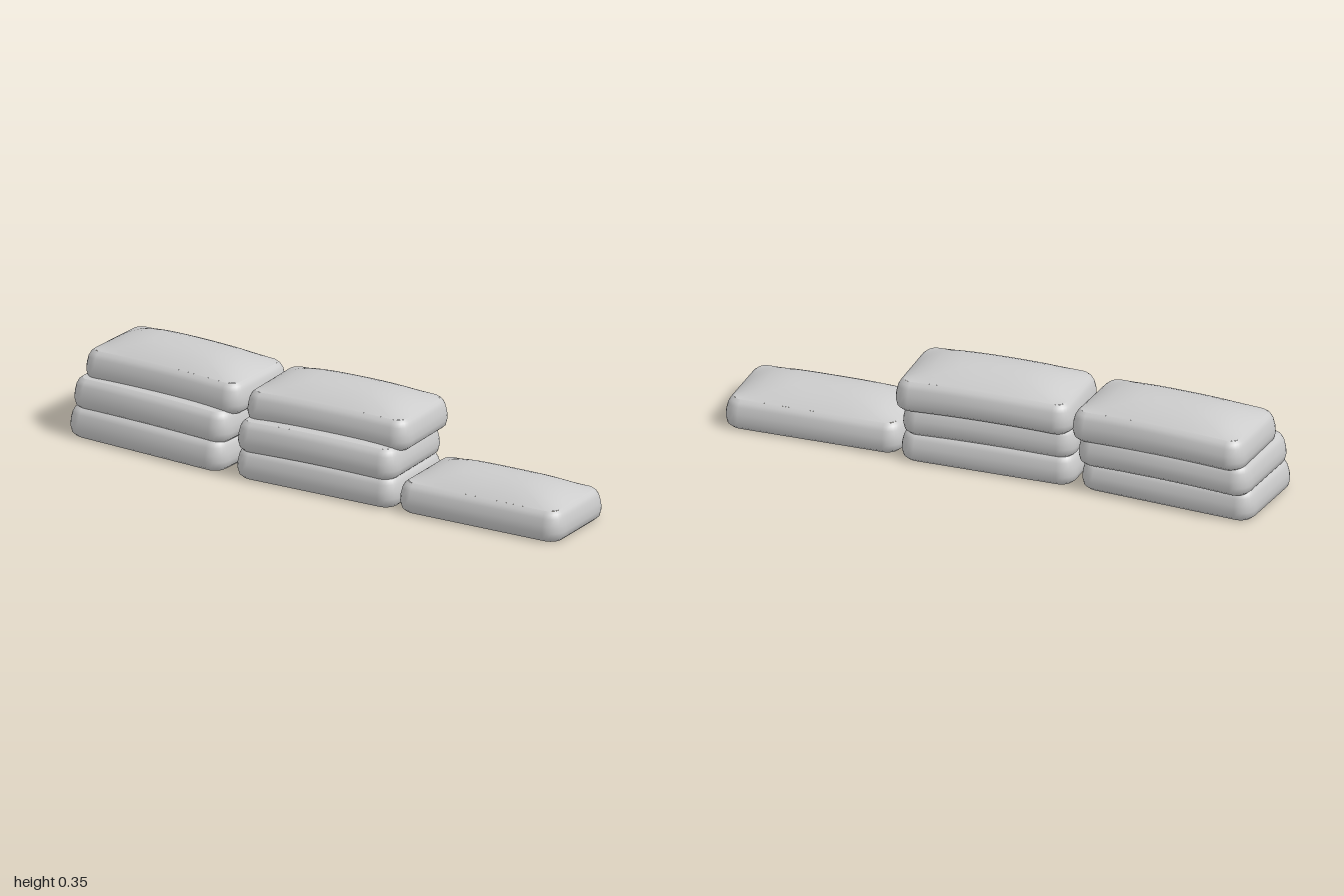
import * as THREE from 'three';

const material = new THREE.MeshStandardMaterial({ color: 0xcccccc });
const ARC = 6, EDGE = 10;

// Outline of a rounded rectangle, evenly subdivided along its edges
function outline(hx, hz, r) {
  const corners = [[1, 1, 0], [-1, 1, 1], [-1, -1, 2], [1, -1, 3]].map(([sx, sz, q]) => {
    const arc = [];
    for (let i = 0; i <= ARC; i++) {
      const a = (q + i / ARC) * Math.PI / 2;
      arc.push([sx * (hx - r) + r * Math.cos(a), sz * (hz - r) + r * Math.sin(a)]);
    }
    return arc;
  });
  const pts = [];
  corners.forEach((arc, c) => {
    pts.push(...arc);
    const a = arc[ARC], b = corners[(c + 1) % 4][0];
    for (let i = 1; i < EDGE; i++) {
      const t = i / EDGE;
      pts.push([a[0] + (b[0] - a[0]) * t, a[1] + (b[1] - a[1]) * t]);
    }
  });
  return pts;
}

// Skins successive closed loops; groups of loops stay unwelded to keep the seams crisp
function skin(groups) {
  const pos = [], idx = [];
  for (const loops of groups) {
    const base = pos.length / 3, n = loops[0].length;
    loops.forEach((loop) => loop.forEach((p) => pos.push(...p)));
    for (let j = 0; j < loops.length - 1; j++) {
      for (let i = 0; i < n; i++) {
        const a = base + j * n + i, b = base + j * n + (i + 1) % n;
        idx.push(a, a + n, b, b, a + n, b + n);
      }
    }
  }
  const geo = new THREE.BufferGeometry();
  geo.setAttribute('position', new THREE.Float32BufferAttribute(pos, 3));
  geo.setIndex(idx);
  geo.computeVertexNormals();
  return geo;
}

// One stuffed bag: flat base, bulging sides, seam, domed top
function bag({ hx, hz, dome, droop, seed }) {
  const rimInset = 0.028;
  const sides = [[0.02, 0], [0.006, 0.012], [0, 0.035], [0.002, 0.06], [0.008, 0.085], [0.016, 0.099], [rimInset, 0.108]];
  const sag = (x) => -droop * (x / hx) ** 2;
  const ring = (inset, y, s = 1) =>
    outline(hx - inset, hz - inset, 0.06 - inset * 0.9).map(([x, z]) => {
      // slight lumps along the sides
      const k = s * (1 + 0.008 * Math.sin(9 * x + seed) * Math.sin(y * 28));
      return [x * s, y + sag(x * s), z * k];
    });
  const base = [0.001, 0.35, 0.7, 1].map((s) => ring(0.02, 0, s));
  const body = sides.map(([inset, y]) => ring(inset, y));
  const top = [1, 0.97, 0.93, 0.88, 0.8, 0.7, 0.55, 0.4, 0.2, 0.001].map((s) =>
    ring(rimInset, 0.108, s).map(([x, y, z]) => {
      const u = Math.min(1, Math.abs(x) / (hx - rimInset)), v = Math.min(1, Math.abs(z) / (hz - rimInset));
      return [x, y + dome * (1 - u ** 4) * (1 - v ** 2.2), z];
    }));
  return new THREE.Mesh(skin([base, body, top]), material);
}

export function createModel() {
  const group = new THREE.Group();
  // name, centre x, base y, centre z, turn, half length, half depth, dome, droop
  const bags = [
    ['leftStackBottomBag', -0.667, 0, 0.008, -0.05, 0.33, 0.185, 0.02, 0],
    ['leftStackMiddleBag', -0.66, 0.106, -0.008, -0.05, 0.328, 0.19, 0.02, 0.006],
    ['leftStackTopBag', -0.64, 0.202, -0.035, -0.035, 0.327, 0.172, 0.045, 0.008],
    ['middleStackBottomBag', 0.015, 0, 0.008, 0.04, 0.322, 0.187, 0.02, 0],
    ['middleStackMiddleBag', 0.015, 0.106, 0.01, 0.05, 0.318, 0.188, 0.02, 0.006],
    ['middleStackTopBag', 0.028, 0.202, -0.025, 0.05, 0.324, 0.172, 0.045, 0.008],
    ['singleBag', 0.668, 0, -0.006, 0.04, 0.326, 0.172, 0.05, 0],
  ];
  bags.forEach(([name, x, y, z, turn, hx, hz, dome, droop], i) => {
    const mesh = bag({ hx, hz, dome, droop, seed: i * 1.7 });
    mesh.name = name;
    mesh.position.set(x, y, z);
    mesh.rotation.y = turn;
    group.add(mesh);
  });
  return group;
}
